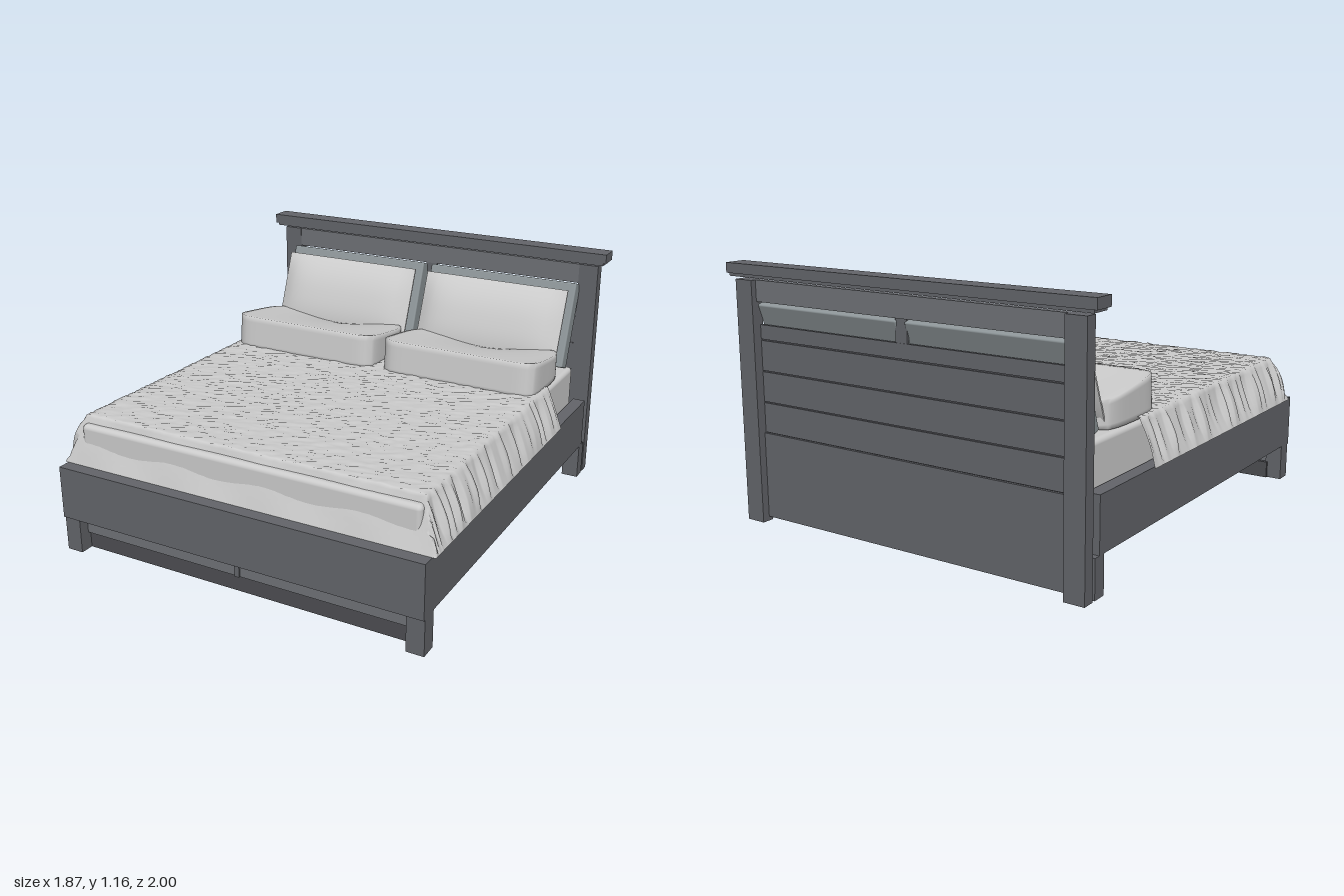
import * as THREE from 'three';
import { RoundedBoxGeometry } from 'three/addons/geometries/RoundedBoxGeometry.js';
import { mergeVertices } from 'three/addons/utils/BufferGeometryUtils.js';

const mat = (color, side = THREE.FrontSide) => new THREE.MeshStandardMaterial({ color, side });

export function createModel() {
  const bed = new THREE.Group();
  bed.name = 'bed';
  const wood = mat(0x63656a);
  const paleWood = mat(0x6f7176);
  const darkWood = mat(0x4c4d51);
  const linen = mat(0xd6d6d6);
  const quilt = mat(0xbfc0c0, THREE.DoubleSide);
  const quiltedPillow = mat(0xc8cbcb);
  const trim = mat(0x8d9598);

  const add = (name, geometry, material, parent = bed) => {
    const mesh = new THREE.Mesh(geometry, material);
    mesh.name = name;
    parent.add(mesh);
    return mesh;
  };
  // Box given by its limits on each axis
  const box = (name, x0, x1, y0, y1, z0, z1, material = wood) => {
    const g = new THREE.BoxGeometry(x1 - x0, y1 - y0, z1 - z0);
    g.translate((x0 + x1) / 2, (y0 + y1) / 2, (z0 + z1) / 2);
    return add(name, g, material);
  };
  // Moves each vertex by a rule
  const reshape = (g, rule) => {
    const p = g.attributes.position;
    const v = new THREE.Vector3();
    for (let i = 0; i < p.count; i++) {
      rule(v.fromBufferAttribute(p, i));
      p.setXYZ(i, v.x, v.y, v.z);
    }
    g.computeVertexNormals();
    return g;
  };
  // Box whose sides share vertices, for soft shading round the edges
  const softBox = (...size) => {
    const g = new THREE.BoxGeometry(...size);
    g.deleteAttribute('uv');
    g.deleteAttribute('normal');
    return mergeVertices(g);
  };
  const hash = (a, b = 0) => {
    const s = Math.sin(a * 12.9898 + b * 78.233) * 43758.5453;
    return s - Math.floor(s);
  };

  // Headboard: cap, top rail, planks over a thin backing, and lower panel
  box('headboardCap', -0.935, 0.935, 1.12, 1.165, -1, -0.9);
  box('headboardCapMoulding', -0.92, 0.92, 1.107, 1.12, -0.995, -0.905);
  box('headboardTopRail', -0.8, 0.8, 1.0, 1.095, -0.965, -0.934, paleWood);
  box('headboardLowerPanel', -0.8, 0.8, 0.02, 0.41, -0.955, -0.934);
  box('headboardBacking', -0.8, 0.8, 0.4, 0.895, -0.943, -0.938, darkWood);
  const seams = [0.41, 0.55, 0.69, 0.83, 0.9];
  for (let i = 0; i < 4; i++) {
    box('headboardPlank', -0.8, 0.8, seams[i] + 0.003, seams[i + 1] - 0.003, -0.948, -0.934);
  }
  // Centre stile between the two openings under the top rail
  box('headboardStile', -0.03, 0.03, 0.89, 1.0, -0.946, -0.934);

  // Posts, side rails and legs, mirrored
  for (const s of [-1, 1]) {
    const pair = (name, xa, xb, ...rest) =>
      box(name, Math.min(s * xa, s * xb), Math.max(s * xa, s * xb), ...rest);
    pair('headboardPost', 0.795, 0.89, 0, 1.095, -0.99, -0.933);
    pair('sideRail', 0.83, 0.89, 0.17, 0.41, -0.885, 0.94);
    pair('frontLeg', 0.81, 0.89, 0, 0.17, 0.912, 0.99);
    pair('backLeg', 0.81, 0.89, 0, 0.17, -0.917, -0.85);
    pair('footPanel', 0.012, 0.81, 0.08, 0.34, 0.92, 0.94, paleWood);
  }

  // Footboard with recessed lower panels
  box('footboard', -0.89, 0.89, 0.165, 0.41, 0.94, 1);
  box('footPanelDivider', -0.012, 0.012, 0.08, 0.34, 0.91, 0.948);
  box('footPlinth', -0.82, 0.82, 0, 0.08, 0.9, 0.925, darkWood);

  // Mattress
  add('mattress', new RoundedBoxGeometry(1.65, 0.255, 1.76, 4, 0.022), linen)
    .position.set(0, 0.4655, 0.03);

  // Blanket: a cloth folded over the mattress edges, with ragged pleats
  const edgeX = 0.825, edgeZ = 0.865, backZ = -0.48, hang = 0.23;
  const width = 2 * (edgeX + hang), depth = edgeZ + hang - backZ;
  const cloth = new THREE.PlaneGeometry(width, depth, 84, 110);
  cloth.rotateX(-Math.PI / 2);
  cloth.translate(0, 0, backZ + depth / 2);
  reshape(cloth, (v) => {
    const overX = Math.max(0, Math.abs(v.x) - edgeX);
    const overZ = Math.max(0, v.z - edgeZ);
    const drop = Math.max(overX, overZ) / hang;
    const row = Math.round(v.z * 70), col = Math.round(v.x * 40);
    const pleat = (hash(Math.floor(row / 2), Math.sign(v.x)) - 0.5) * 0.04;
    const top = 0.613 + 0.012 * (v.z + 0.4) + (hash(row, col) - 0.5) * 0.006;
    if (overX > 0) {
      v.x = Math.sign(v.x) * (edgeX + 0.08 * overX / hang + pleat * Math.sin(Math.PI * drop));
    }
    if (overZ > 0) {
      const wave = 0.004 * Math.sin(v.x * 14) * Math.sin(Math.PI * drop);
      v.z = edgeZ + 0.075 * overZ / hang + wave;
    }
    v.y = top + (0.41 - top) * drop;
  });
  add('blanket', cloth, quilt);

  // Lens-shaped cushion that thins towards its seams
  const cushion = (w, h, t) =>
    reshape(new THREE.BoxGeometry(w, h, 1, 20, 20, 1), (v) => {
      const u = Math.abs(2 * v.x / w), k = Math.abs(2 * v.y / h);
      const puff = (1 - u ** 6) * (1 - k ** 2.4);
      v.z = Math.sign(v.z) * (0.004 + (t / 2 - 0.004) * puff);
    });

  // Sleeping pillow: tall flat front, sloping top, dipped and curved-in back edge
  const pillowShape = () => {
    const w = 0.79, d = 0.41;
    return reshape(softBox(w, 1, d, 32, 6, 20), (v) => {
      const u = 2 * v.x / w;
      const back = 0.5 - v.z / d;
      const level = v.y + 0.5;
      const dip = Math.cos(u * Math.PI / 2) ** 2 * back ** 2;
      v.y = level * (0.17 - 0.05 * back - 0.035 * dip);
      v.z += 0.03 * dip - 0.015 * level * (1 - back);
      v.z -= (1 - 2 * back) * 0.03 * Math.abs(u) ** 16;
      v.x *= 1 - 0.05 * back ** 8 - 0.03 * (1 - back) ** 12;
    });
  };

  for (const s of [-1, 1]) {
    const side = s > 0 ? 'left' : 'right';
    add(side + 'SleepingPillow', pillowShape(), linen).position.set(s * 0.42, 0.597, -0.498);

    // Upright cushion and the thicker bordered one leaning on the headboard
    const upright = add(side + 'UprightCushion', cushion(0.75, 0.42, 0.11), quiltedPillow);
    upright.position.set(s * 0.41, 0.793, -0.74);
    upright.rotation.x = -0.37;
    const leaning = add(side + 'LeaningCushion', new RoundedBoxGeometry(0.78, 0.42, 0.075, 3, 0.008), trim);
    leaning.position.set(s * 0.412, 0.8, -0.851);
    leaning.rotation.x = -0.34;
  }
  return bed;
}
